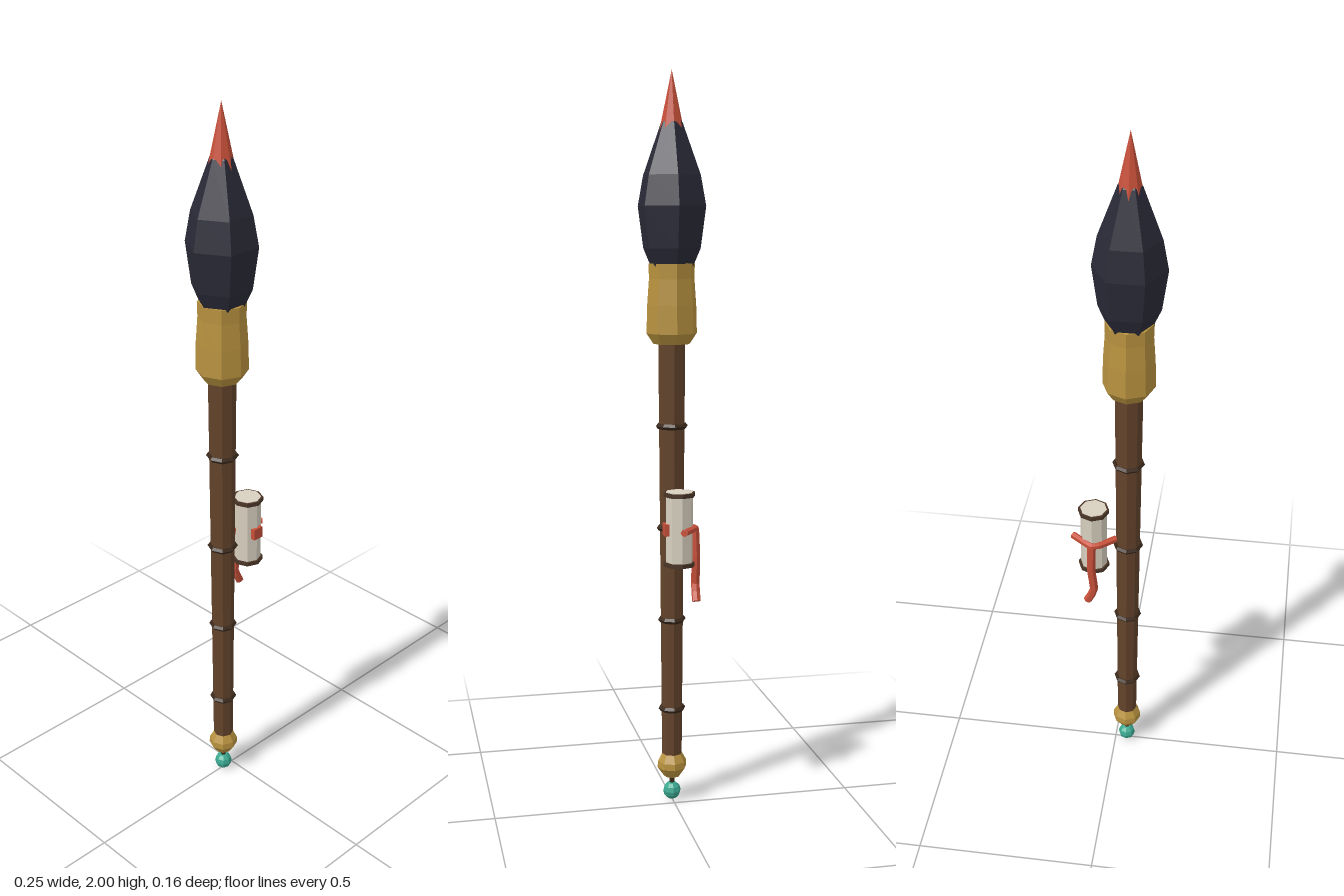
import * as THREE from 'three';

const AXIS = -0.034; // x of the brush shaft

function mat(color) {
  return new THREE.MeshStandardMaterial({ color, flatShading: true });
}
const M = {
  bristle: mat(0x2a2a38), gold: mat(0xb8923f), wood: mat(0x63432b), dark: mat(0x3a281a),
  paper: mat(0xd8d0c0), cap: mat(0x4a3526), red: mat(0xc8503a), jade: mat(0x3aa890),
};

function add(parent, name, geometry, material, x = 0, y = 0, z = 0) {
  const mesh = new THREE.Mesh(geometry, material);
  mesh.name = name;
  mesh.position.set(x, y, z);
  parent.add(mesh);
  return mesh;
}

// Faceted turned shape from [radius, height] pairs, listed bottom to top
function turned(profile, sides) {
  return new THREE.LatheGeometry(profile.map(([r, y]) => new THREE.Vector2(r, y)), sides);
}

// Bent bar through the given points, with closed ends
function bar(parent, name, points, radius) {
  const group = new THREE.Group();
  group.name = name;
  parent.add(group);
  const pts = points.map((p) => new THREE.Vector3(...p));
  const path = new THREE.CurvePath();
  for (let i = 1; i < pts.length; i++) path.add(new THREE.LineCurve3(pts[i - 1], pts[i]));
  const curve = new THREE.CatmullRomCurve3(pts, false, 'catmullrom', 0.2);
  add(group, name + 'Body', new THREE.TubeGeometry(curve, 8, radius, 6), M.red);
  for (const t of [0, 1]) {
    const end = add(group, name + 'End', new THREE.CircleGeometry(radius, 6), M.red);
    const out = curve.getTangent(t).multiplyScalar(t ? 1 : -1);
    end.position.copy(curve.getPoint(t));
    end.quaternion.setFromUnitVectors(new THREE.Vector3(0, 0, 1), out);
  }
}

export function createModel() {
  const model = new THREE.Group();
  model.name = 'brush';

  const shaft = new THREE.Group();
  shaft.name = 'shaft';
  shaft.position.x = AXIS;
  model.add(shaft);

  // Hexagonal bristles and the painted tip
  const bristles = turned([[0, 1.47], [0.058, 1.49], [0.08, 1.54], [0.095, 1.65],
    [0.08, 1.73], [0.03, 1.865], [0, 1.9]], 6);
  add(shaft, 'bristles', bristles, M.bristle).rotation.y = Math.PI / 6;
  add(shaft, 'tip', turned([[0, 1.84], [0.034, 1.84], [0, 2]], 8), M.red);

  // Gold ferrule
  add(shaft, 'ferrule', turned([[0, 1.285], [0.05, 1.287], [0.069, 1.315], [0.067, 1.39],
    [0.062, 1.46], [0.063, 1.5], [0, 1.5]], 8), M.gold);

  // Tapered handle with joint rings
  add(shaft, 'handle', new THREE.CylinderGeometry(0.037, 0.028, 1.17, 8), M.wood, 0, 0.715);
  [[1.065, 0.036], [0.785, 0.034], [0.527, 0.031], [0.272, 0.03]].forEach(([y, r]) => {
    const ring = add(shaft, 'ring', new THREE.TorusGeometry(r, 0.008, 5, 8), M.dark, 0, y);
    ring.rotation.x = Math.PI / 2;
  });

  // End cap, neck and bead
  add(shaft, 'endCap', turned([[0, 0.07], [0.022, 0.073], [0.041, 0.1], [0.04, 0.118],
    [0.027, 0.142], [0, 0.142]], 8), M.gold);
  add(shaft, 'neck', new THREE.CylinderGeometry(0.007, 0.007, 0.04, 6), M.dark, 0, 0.065);
  add(shaft, 'bead', new THREE.SphereGeometry(0.025, 8, 6), M.jade, 0, 0.03);

  // Hanging scroll with rims
  const scroll = new THREE.Group();
  scroll.name = 'scroll';
  scroll.position.set(0.062, 0.8, 0);
  model.add(scroll);
  add(scroll, 'paper', new THREE.CylinderGeometry(0.037, 0.037, 0.197, 8), M.paper, 0, 0.003);
  for (const side of [-1, 1]) {
    add(scroll, 'rim', new THREE.CylinderGeometry(0.043, 0.043, 0.011, 8), M.cap, 0, side * 0.0945);
  }

  // Red seal, tie around the back and trailing ribbon
  add(scroll, 'seal', new THREE.BoxGeometry(0.032, 0.032, 0.018), M.red, 0, 0, 0.034);
  bar(scroll, 'tie', [[-0.062, 0, 0], [-0.005, 0, -0.044], [0.058, 0, 0]], 0.01);
  bar(scroll, 'ribbon', [[0, 0, -0.042], [0.002, -0.08, -0.045], [-0.006, -0.155, -0.045],
    [0.013, -0.197, -0.044]], 0.012);

  return model;
}
